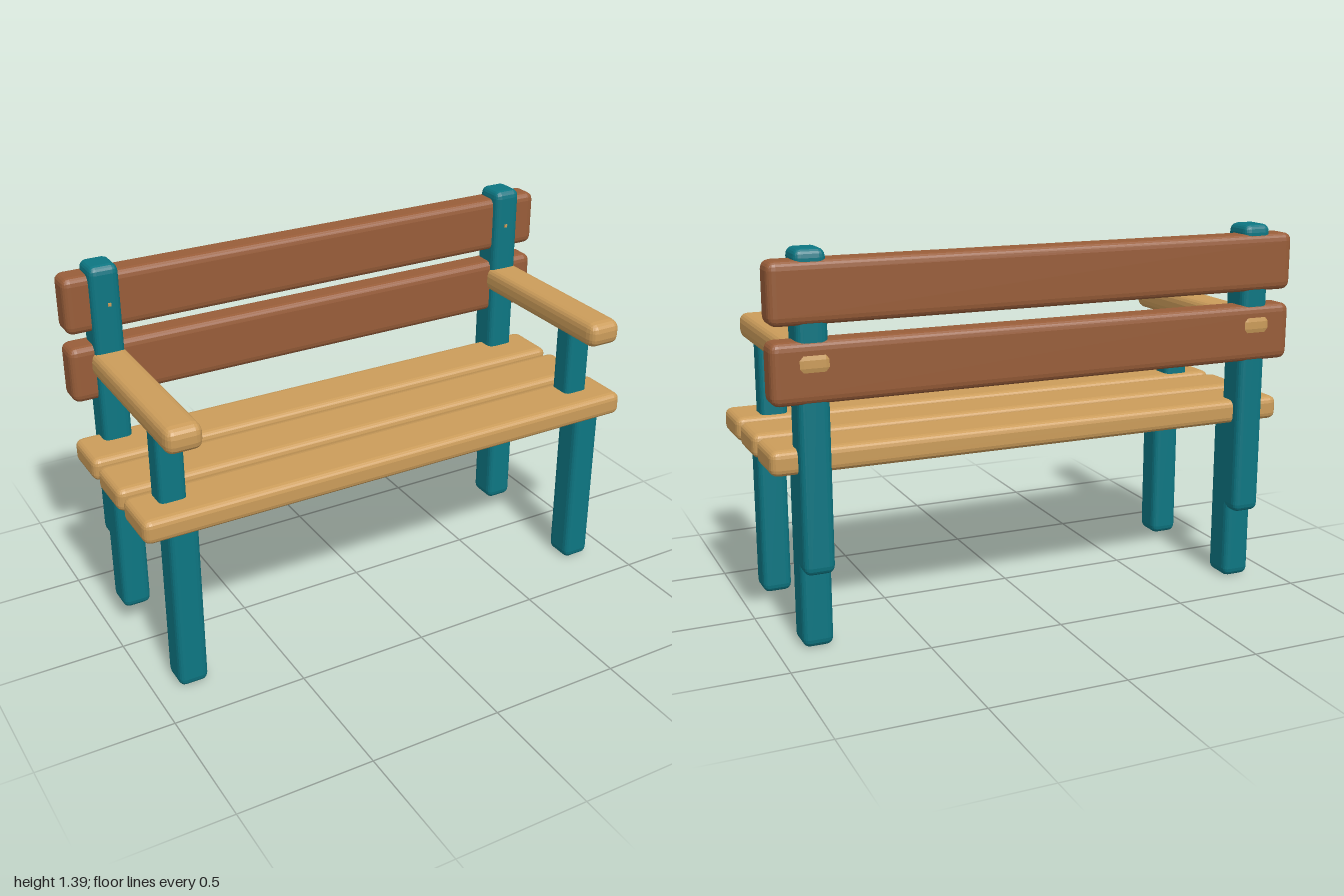
import * as THREE from 'three';
import { RoundedBoxGeometry } from 'three/addons/geometries/RoundedBoxGeometry.js';

const paint = (name, color) => {
  const m = new THREE.MeshStandardMaterial({ color });
  m.name = name;
  return m;
};

export function createModel() {
  const bench = new THREE.Group();
  bench.name = 'bench';
  const teal = paint('teal paint', 0x0d7682);
  const brown = paint('dark wood', 0x985d39);
  const tan = paint('light wood', 0xcb9c5a);

  // Bevelled beam between [min, max] ranges, with its own bevel on each axis
  const beam = (name, mat, [x0, x1], [y0, y1], [z0, z1], [bx, by, bz]) => {
    const geo = new RoundedBoxGeometry((x1 - x0) / bx, (y1 - y0) / by, (z1 - z0) / bz, 2, 1);
    geo.scale(bx, by, bz);
    const flat = geo.index ? geo.toNonIndexed() : geo;
    flat.computeVertexNormals();
    const mesh = new THREE.Mesh(flat, mat);
    mesh.name = name;
    mesh.position.set((x0 + x1) / 2, (y0 + y1) / 2, (z0 + z1) / 2);
    bench.add(mesh);
  };

  // Seat slats
  for (const z of [-0.245, 0, 0.245])
    beam('seatSlat', tan, [-1, 1], [0.63, 0.72], [z - 0.106, z + 0.106], [0.03, 0.025, 0.028]);

  // Back planks
  for (const y of [0.88, 1.145])
    beam('backPlank', brown, [-1, 1], [y, y + 0.213], [-0.4, -0.29], [0.03, 0.03, 0.025]);

  // Legs, posts and armrests on both sides
  for (const [side, s] of [['left', 1], ['right', -1]]) {
    const span = (w) => [s * 0.853 - w / 2, s * 0.853 + w / 2];
    const post = [0.025, 0.03, 0.025];
    beam(side + 'FrontLeg', teal, span(0.11), [0, 0.68], [0.22, 0.34], post);
    beam(side + 'BackLeg', teal, span(0.11), [0, 0.68], [-0.34, -0.215], post);
    beam(side + 'BackPost', teal, span(0.11), [0.28, 1.393], [-0.39, -0.265], post);
    beam(side + 'ArmSupport', teal, span(0.1), [0.67, 1.01], [0.16, 0.255], [0.02, 0.03, 0.02]);
    beam(side + 'Armrest', tan, span(0.135), [0.97, 1.067], [-0.404, 0.404], [0.03, 0.035, 0.04]);

    // Peg head on the front of the post
    const peg = new THREE.Mesh(new THREE.BoxGeometry(0.012, 0.012, 0.008), tan);
    peg.name = side + 'Peg';
    peg.position.set(s * 0.845, 1.25, -0.265);
    bench.add(peg);
  }
  return bench;
}
